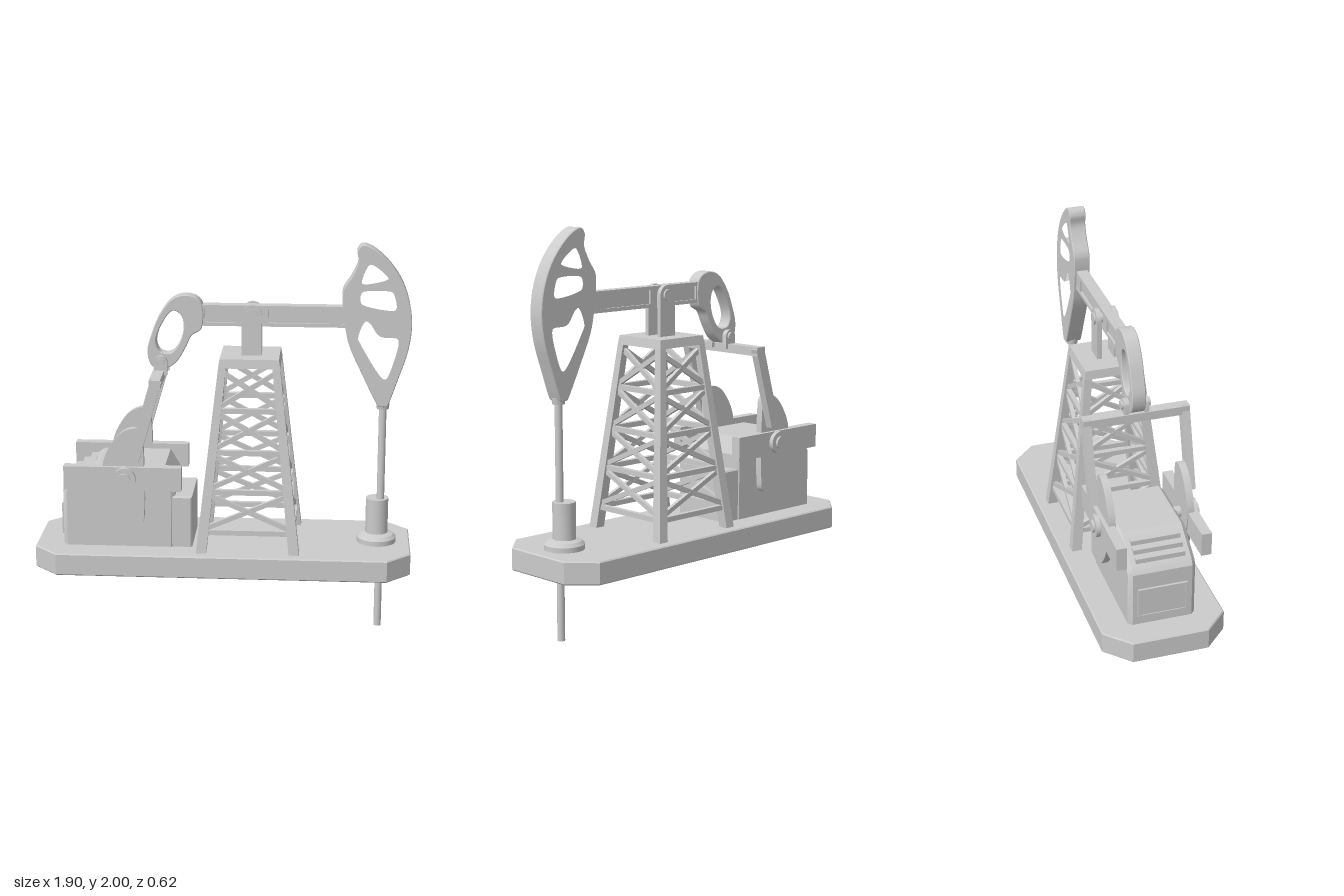
import * as THREE from 'three';
import { toCreasedNormals } from 'three/addons/utils/BufferGeometryUtils.js';

const grey = new THREE.MeshStandardMaterial({ color: 0xcccccc });
const V = (x, y, z) => new THREE.Vector3(x, y, z);
const MID = 0.013; // plane of the walking beam

function add(parent, name, geometry, x = 0, y = 0, z = 0) {
  const mesh = new THREE.Mesh(geometry, grey);
  mesh.name = name;
  mesh.position.set(x, y, z);
  parent.add(mesh);
  return mesh;
}

const box = (parent, name, w, h, d, x, y, z) => add(parent, name, new THREE.BoxGeometry(w, h, d), x, y, z);

// Cylinder lying along z
const pin = (parent, name, r, depth, x, y, z) =>
  add(parent, name, new THREE.CylinderGeometry(r, r, depth, 24).rotateX(Math.PI / 2), x, y, z);

// Straight bar of rectangular section between two points of the parent's space
function bar(parent, name, a, b, w, t) {
  const mesh = box(parent, name, w, t, a.distanceTo(b), 0, 0, 0);
  mesh.position.copy(a).add(b).multiplyScalar(0.5);
  mesh.quaternion.setFromRotationMatrix(new THREE.Matrix4().lookAt(b, a, V(0, 1, 0)));
}

// Smooth closed loop through a few [x, y] points
function loop(points, n = 56) {
  const curve = new THREE.CatmullRomCurve3(points.map(([x, y]) => V(x, y, 0)), true, 'centripetal');
  return curve.getPoints(n).slice(0, n).map((p) => new THREE.Vector2(p.x, p.y));
}

// Plate in the xy plane, centred on z = 0, with optional holes and bevel
function plate(outline, depth, holes = [], bevel = 0) {
  const shape = new THREE.Shape(outline);
  shape.holes = holes.map((h) => new THREE.Path(h));
  const geometry = new THREE.ExtrudeGeometry(shape, {
    depth: depth - 2 * bevel, bevelEnabled: bevel > 0, bevelThickness: bevel,
    bevelSize: bevel, bevelOffset: -bevel, bevelSegments: 1,
  });
  geometry.translate(0, 0, bevel - depth / 2);
  return toCreasedNormals(geometry, 0.5);
}

const poly = (points) => points.map(([x, y]) => new THREE.Vector2(x, y));

// Upright tab with a round top, its hole centre at y = 0
function tab(r, drop, depth) {
  const shape = new THREE.Shape();
  shape.moveTo(-r, -drop).lineTo(r, -drop).lineTo(r, 0).absarc(0, 0, r, 0, Math.PI, false);
  return plate(shape.getPoints(12), depth);
}

function buildBase(root) {
  const c = 0.12, X = 0.952, Z = 0.312;
  const outline = poly([[-X + c, -Z], [X - c, -Z], [X, -Z + c], [X, Z - c], [X - c, Z], [-X + c, Z], [-X, Z - c], [-X, -Z + c]]);
  add(root, 'base', plate(outline, 0.115, [], 0.006).rotateX(-Math.PI / 2), 0, 0.4025, 0);
}

function buildTower(root) {
  const tower = new THREE.Group();
  tower.name = 'tower';
  tower.position.set(0.132, 0, 0);
  root.add(tower);
  const bottom = 0.455, top = 1.4;
  const half = (y) => 0.26 - ((y - bottom) / (top - bottom)) * 0.107;
  const levels = [0.565, 0.77, 0.97, 1.18, 1.385];
  for (let side = 0; side < 4; side++) {
    const face = new THREE.Group();
    face.name = 'towerSide';
    face.rotation.y = (side * Math.PI) / 2;
    tower.add(face);
    // Tapered leg on this side's corner
    const leg = new THREE.BoxGeometry(1, top - bottom, 1);
    const p = leg.attributes.position;
    for (let i = 0; i < p.count; i++) {
      const y = p.getY(i) + (top + bottom) / 2, h = half(y), w = y > 1 ? 0.038 : 0.052;
      p.setXYZ(i, p.getX(i) > 0 ? h : h - w, y, p.getZ(i) > 0 ? h : h - w);
    }
    leg.computeVertexNormals();
    add(face, 'leg', leg);
    // Rungs and crossed braces
    const at = (s, y) => V(s * (half(y) - 0.025), y, half(y) - 0.022);
    for (let i = 0; i < 4; i++) {
      const y = levels[i], next = levels[i + 1];
      bar(face, 'rung', at(-1, y), at(1, y), 0.025, 0.026);
      for (const s of [-1, 1]) bar(face, 'crossBrace', at(s, y + 0.015), at(-s, next - 0.015), 0.02, 0.024);
    }
  }
  const cap = new THREE.CylinderGeometry(0.147 * Math.SQRT2, 0.154 * Math.SQRT2, 0.045, 4).rotateY(Math.PI / 4);
  add(tower, 'towerCap', toCreasedNormals(cap, 0.3), 0, 1.4175, 0);
  // Pivot bearing holding the beam
  for (const s of [-1, 1]) {
    add(tower, 'pivotPlate', tab(0.05, 0.21, 0.024), 0.007, 1.645, s * 0.043);
    pin(tower, 'pivotBoss', 0.03, 0.012, 0.007, 1.645, s * 0.058);
  }
  pin(tower, 'pivotPin', 0.025, 0.1, 0.007, 1.645, 0);
}

function buildBeam(root) {
  const beam = new THREE.Group();
  beam.name = 'walkingBeam';
  beam.position.z = MID;
  root.add(beam);
  box(beam, 'beamWeb', 0.74, 0.1, 0.036, 0.24, 1.638, 0);
  box(beam, 'topFlange', 0.74, 0.018, 0.06, 0.24, 1.681, 0);
  box(beam, 'bottomFlange', 0.74, 0.018, 0.06, 0.24, 1.594, 0);
  for (const [x, w] of [[0.14, 0.16], [0.56, 0.07], [-0.11, 0.03]]) box(beam, 'beamStiffener', w, 0.1, 0.058, x, 1.638, 0);

  const headOutline = loop([
    [0.695, 2.0], [0.76, 1.965], [0.855, 1.86], [0.91, 1.74], [0.93, 1.61], [0.915, 1.475], [0.868, 1.325], [0.825, 1.2],
    [0.818, 1.187], [0.775, 1.187], [0.765, 1.2], [0.695, 1.34], [0.622, 1.5], [0.6, 1.6], [0.585, 1.74], [0.59, 1.78],
    [0.63, 1.845], [0.66, 1.915], [0.655, 1.97], [0.672, 1.997],
  ], 100);
  const headHoles = [
    [[0.71, 1.905], [0.73, 1.907], [0.8, 1.855], [0.812, 1.835], [0.8, 1.825], [0.69, 1.803], [0.675, 1.812]],
    [[0.672, 1.755], [0.685, 1.772], [0.825, 1.775], [0.838, 1.765], [0.856, 1.69], [0.845, 1.674], [0.685, 1.7], [0.672, 1.715]],
    [[0.7, 1.625], [0.725, 1.615], [0.775, 1.55], [0.86, 1.54], [0.87, 1.525], [0.85, 1.42], [0.81, 1.325], [0.79, 1.328], [0.675, 1.505], [0.662, 1.535]],
  ].map((h) => loop(h, 60));
  add(beam, 'horseHead', plate(headOutline, 0.084, headHoles, 0.004));

  const tailOutline = loop([
    [-0.108, 1.69], [-0.135, 1.725], [-0.19, 1.74], [-0.255, 1.72], [-0.32, 1.64], [-0.36, 1.545], [-0.383, 1.46],
    [-0.37, 1.39], [-0.34, 1.365], [-0.29, 1.365], [-0.24, 1.395], [-0.19, 1.475], [-0.16, 1.535], [-0.113, 1.568],
  ], 70);
  const tailHole = loop([
    [-0.255, 1.66], [-0.215, 1.64], [-0.2, 1.58], [-0.225, 1.49], [-0.265, 1.445], [-0.32, 1.45], [-0.34, 1.5], [-0.31, 1.59],
  ], 40);
  add(beam, 'tailRing', plate(tailOutline, 0.07, [tailHole], 0.004));
}

function buildDrive(root) {
  const drive = new THREE.Group();
  drive.name = 'drive';
  drive.position.z = MID;
  root.add(drive);
  // Yoke between the tail ring and the two pitman arms
  box(drive, 'yokeBar', 0.056, 0.045, 0.54, -0.325, 1.338, 0);
  pin(drive, 'yokePin', 0.018, 0.13, -0.315, 1.4, 0);
  const leaf = loop([
    [-0.44, 1.1], [-0.5, 1.075], [-0.56, 1.0], [-0.592, 0.92], [-0.59, 0.84], [-0.565, 0.76], [-0.51, 0.655],
    [-0.44, 0.588], [-0.4, 0.6], [-0.388, 0.68], [-0.388, 0.85], [-0.392, 1.02], [-0.405, 1.085],
  ]);
  for (const s of [-1, 1]) {
    add(drive, 'yokeTab', tab(0.033, 0.065, 0.026), -0.315, 1.4, s * 0.05);
    pin(drive, 'yokeBolt', 0.022, 0.012, -0.315, 1.4, s * 0.068);
    bar(drive, 'pitmanArm', V(-0.318, 1.355, s * 0.25), V(-0.437, 0.94, s * 0.25), 0.04, 0.055);
    add(drive, 'counterweight', plate(leaf, 0.036), 0, 0, s * 0.2);
    box(drive, 'crankBar', 0.59, 0.122, 0.052, -0.495, 0.843, s * 0.213);
    pin(drive, 'crankHub', 0.057, 0.024, -0.483, 0.847, s * 0.25);
    pin(drive, 'crankHubCap', 0.032, 0.016, -0.483, 0.847, s * 0.266);
  }
  pin(drive, 'crankShaft', 0.028, 0.44, -0.483, 0.847, 0);
}

function buildHousing(root) {
  const housing = new THREE.Group();
  housing.name = 'motorHousing';
  root.add(housing);
  const body = poly([[-0.81, 0.43], [-0.24, 0.43], [-0.24, 0.8], [-0.29, 0.885], [-0.63, 0.885], [-0.79, 0.78], [-0.81, 0.75]]);
  add(housing, 'housingBody', plate(body, 0.34, [], 0.02));
  const front = poly([[-0.3, 0.43], [-0.153, 0.43], [-0.153, 0.728], [-0.3, 0.728]]);
  add(housing, 'housingFront', plate(front, 0.33, [], 0.008));
  // Rear panel with a raised frame
  box(housing, 'rearPanel', 0.015, 0.15, 0.24, -0.81, 0.585, 0);
  for (const s of [-1, 1]) {
    box(housing, 'panelFrame', 0.02, 0.012, 0.25, -0.812, 0.585 + s * 0.075, 0);
    box(housing, 'panelFrame', 0.02, 0.15, 0.012, -0.812, 0.585, s * 0.12);
  }
  // Louvres stepping up the sloped roof
  for (let i = 0; i < 3; i++) {
    box(housing, 'louvre', 0.036, 0.03, 0.25, -0.757 + i * 0.04, 0.8 + i * 0.026, 0);
  }
}

function buildWell(root) {
  const profile = poly([[0, 0.45], [0.1, 0.45], [0.1, 0.485], [0.085, 0.502], [0.057, 0.51], [0.057, 0.692], [0.03, 0.692], [0, 0.692]]);
  add(root, 'wellHead', toCreasedNormals(new THREE.LatheGeometry(profile, 32), 0.5), 0.782, 0, 0);
  add(root, 'polishedRod', new THREE.CylinderGeometry(0.019, 0.019, 1.19, 20), 0.798, 0.595, MID);
  add(root, 'rodClamp', new THREE.CylinderGeometry(0.034, 0.03, 0.03, 20), 0.798, 1.182, MID);
}

export function createModel() {
  const root = new THREE.Group();
  root.name = 'oilPumpJack';
  for (const build of [buildBase, buildTower, buildBeam, buildDrive, buildHousing, buildWell]) build(root);
  return root;
}
